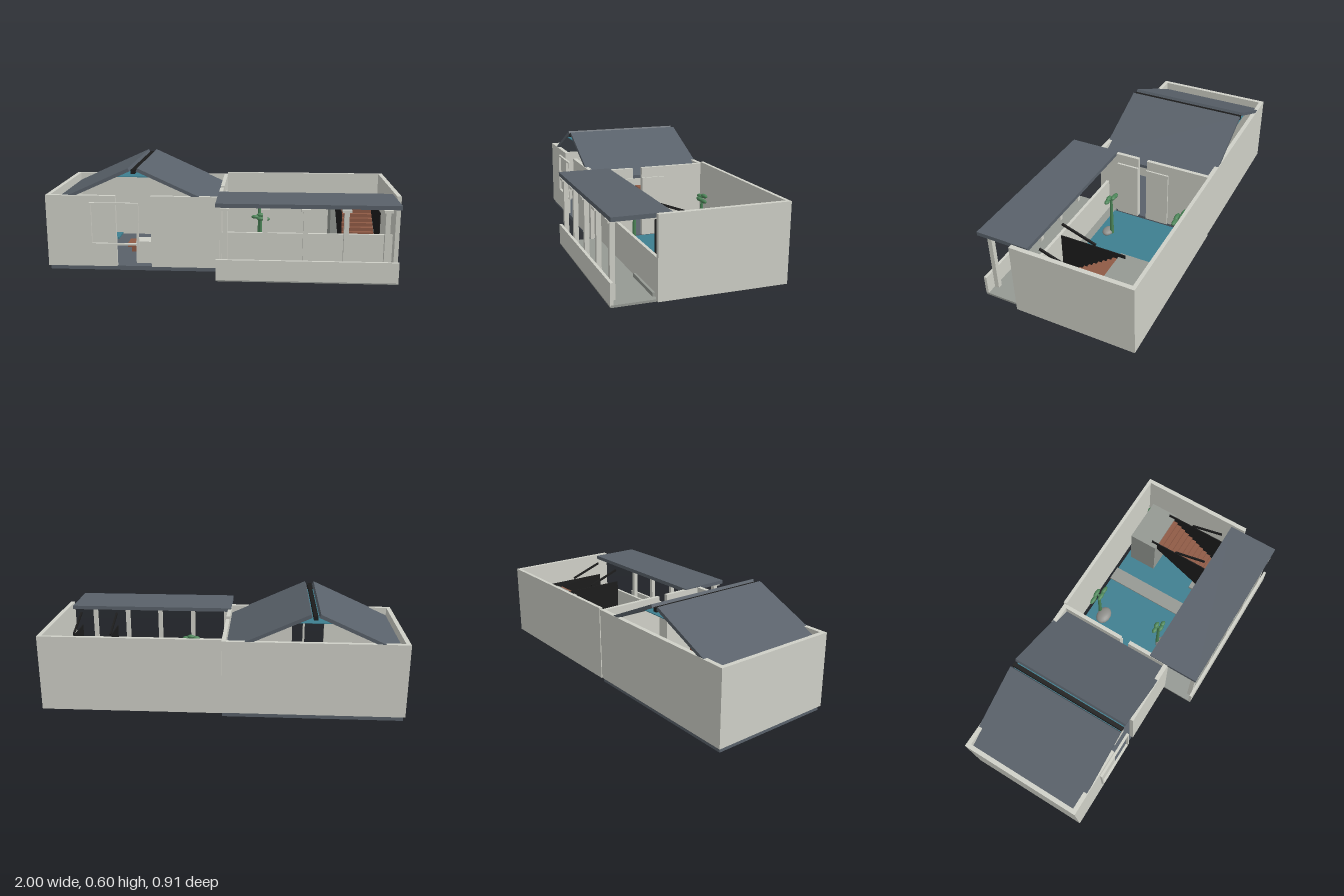
import * as THREE from 'three';

const mat = (name, color, side = THREE.FrontSide) => {
  const m = new THREE.MeshStandardMaterial({ color, side });
  m.name = name;
  return m;
};

export function createModel() {
  const M = {
    wall: mat('plaster', 0xcfd0c7),
    slate: mat('slate', 0x59616a),
    stone: mat('stone', 0x959993),
    water: mat('water', 0x3e7f90, THREE.DoubleSide),
    wood: mat('wood', 0x8f5a45),
    leaf: mat('leaf', 0x4c8558),
    rock: mat('rock', 0x8e8e8a),
    iron: mat('iron', 0x1c1c1c, THREE.DoubleSide),
  };
  const root = new THREE.Group();
  const group = (name) => {
    const g = new THREE.Group();
    g.name = name;
    root.add(g);
    return g;
  };
  // Box given by its minimum and maximum along each axis
  const box = (parent, name, m, x0, x1, y0, y1, z0, z1) => {
    const mesh = new THREE.Mesh(new THREE.BoxGeometry(x1 - x0, y1 - y0, z1 - z0), m);
    mesh.position.set((x0 + x1) / 2, (y0 + y1) / 2, (z0 + z1) / 2);
    mesh.name = name;
    parent.add(mesh);
    return mesh;
  };

  // House shell
  const house = group('house');
  box(house, 'houseFloor', M.slate, -0.99, -0.002, 0, 0.025, -0.44, 0.257);
  box(house, 'backWall', M.wall, -1, 0, 0.025, 0.44, -0.45, -0.425);
  box(house, 'outerWall', M.wall, -1, -0.975, 0.025, 0.44, -0.425, 0.245);
  box(house, 'frontWallRight', M.wall, -1, -0.6, 0.025, 0.44, 0.243, 0.268);
  box(house, 'frontWallLeft', M.wall, -0.4, -0.01, 0.025, 0.44, 0.243, 0.268);
  box(house, 'innerWallBack', M.wall, -0.022, 0, 0.025, 0.44, -0.425, -0.05);
  box(house, 'innerWallFront', M.wall, -0.022, 0, 0.025, 0.44, 0.005, 0.243);
  box(house, 'innerPanelBack', M.wall, -0.02, 0.01, 0.025, 0.38, -0.19, -0.05);
  box(house, 'innerPanelFront', M.wall, -0.02, 0.012, 0.025, 0.38, 0.005, 0.14);

  // Window frame on the front wall
  const frame = group('windowFrame');
  for (const x of [-0.75, -0.48]) box(frame, 'frameSide', M.wall, x, x + 0.012, 0.155, 0.402, 0.268, 0.282);
  for (const y of [0.155, 0.392]) box(frame, 'frameRail', M.wall, -0.738, -0.48, y, y + 0.01, 0.268, 0.282);

  // Pitched roof: two sloping slabs, ridge beam and a thin ceiling sheet
  const roof = group('houseRoof');
  const slab = (name, pts) => {
    const g = new THREE.ExtrudeGeometry(new THREE.Shape(pts.map((p) => new THREE.Vector2(...p))), {
      depth: 0.71, bevelEnabled: false,
    });
    const mesh = new THREE.Mesh(g, M.slate);
    mesh.position.z = -0.447;
    mesh.name = name;
    roof.add(mesh);
  };
  slab('roofSlabRight', [[-0.974, 0.374], [-0.514, 0.58], [-0.522, 0.598], [-0.974, 0.393]]);
  slab('roofSlabLeft', [[-0.022, 0.374], [-0.022, 0.393], [-0.47, 0.598], [-0.478, 0.58]]);
  box(roof, 'ridgeBeam', M.iron, -0.508, -0.485, 0.565, 0.587, -0.445, 0.262);
  box(roof, 'ceilingSheet', M.water, -0.59, -0.40, 0.546, 0.55, -0.44, 0.255);

  // Furniture inside the house
  const furniture = group('furniture');
  box(furniture, 'counter', M.wall, -0.5, -0.4, 0.025, 0.155, 0.1, 0.2);
  box(furniture, 'bench', M.wood, -0.59, -0.51, 0.06, 0.085, -0.1, 0.0);
  box(furniture, 'benchFoot', M.wood, -0.57, -0.53, 0.025, 0.06, -0.08, -0.02);
  box(furniture, 'tableTop', M.water, -0.76, -0.62, 0.14, 0.15, -0.02, 0.1);
  box(furniture, 'tableFoot', M.wall, -0.71, -0.67, 0.025, 0.14, 0.02, 0.06);
  for (const [x, z] of [[-0.73, -0.12], [-0.445, -0.2], [-0.3, 0]]) {
    box(furniture, 'chairSeat', M.wood, x - 0.025, x + 0.025, 0.155, 0.215, z - 0.025, z + 0.025);
    box(furniture, 'chairFoot', M.wall, x - 0.015, x + 0.015, 0.025, 0.155, z - 0.015, z + 0.015);
  }

  // Courtyard
  const yard = group('courtyard');
  box(yard, 'poolFloor', M.water, 0.02, 0.96, 0.016, 0.026, -0.415, 0.16);
  box(yard, 'yardBackWall', M.wall, 0, 1, 0.025, 0.45, -0.455, -0.435);
  box(yard, 'yardSideWall', M.wall, 0.975, 1, 0.025, 0.45, -0.435, 0.235);
  box(yard, 'lowWall', M.wall, 0, 0.965, 0.025, 0.225, 0.205, 0.222);
  box(yard, 'path', M.stone, 0.445, 0.535, 0.02, 0.035, -0.42, 0.2);

  // Porch
  const porch = group('porch');
  box(porch, 'porchFloor', M.stone, -0.02, 0.965, 0.013, 0.025, 0.16, 0.455);
  box(porch, 'parapet', M.wall, -0.02, 0.965, 0.02, 0.135, 0.44, 0.456);
  box(porch, 'porchRoof', M.slate, -0.02, 0.965, 0.425, 0.447, 0.15, 0.452);
  for (let i = 0; i < 5; i++) {
    const x = 0.03 + i * 0.2165;
    box(porch, 'post', M.wall, x - 0.013, x + 0.013, 0.025, 0.41, 0.413, 0.439);
    box(porch, 'postCap', M.wall, x - 0.024, x + 0.024, 0.407, 0.42, 0.4, 0.452);
  }

  // Stairs going down from a raised platform to a low landing
  const stairs = group('stairs');
  box(stairs, 'platform', M.stone, 0.655, 0.93, 0.025, 0.31, -0.385, -0.21);
  box(stairs, 'landing', M.stone, 0.655, 0.93, 0.025, 0.045, 0.06, 0.235);
  const steps = 12;
  for (let i = 0; i < steps; i++) {
    const z = -0.21 + (i * 0.35) / steps;
    const top = 0.3 - (i * 0.25) / steps;
    box(stairs, 'tread', M.wood, 0.692, 0.895, top - 0.028, top, z, z + 0.35 / steps);
  }
  const railShape = new THREE.Shape([
    new THREE.Vector2(0.25, 0.33), new THREE.Vector2(0.25, 0.29),
    new THREE.Vector2(-0.13, 0.05), new THREE.Vector2(-0.13, 0.33),
  ]);
  for (const x of [0.685, 0.905]) {
    const rail = new THREE.Mesh(new THREE.ExtrudeGeometry(railShape, { depth: 0.005, bevelEnabled: false }), M.iron);
    rail.rotation.y = Math.PI / 2;
    rail.position.x = x - 0.0025;
    rail.name = 'railPanel';
    stairs.add(rail);
    const bar = new THREE.Mesh(new THREE.BoxGeometry(0.01, 0.012, 0.21), M.iron);
    bar.position.set(x, 0.375, 0.02);
    bar.rotation.x = -0.35;
    bar.name = 'handrail';
    stairs.add(bar);
  }

  // Small trees, each beside a rock: x, z, rock x, rock z, rock radius
  const garden = group('garden');
  for (const [x, z, rx, rz, r] of [
    [0.21, -0.35, 0.195, -0.315, 0.06],
    [0.22, 0.075, 0.225, 0.1, 0.042],
    [0.89, -0.37, 0.77, -0.37, 0.055],
  ]) {
    const rock = new THREE.Mesh(new THREE.SphereGeometry(r, 14, 10), M.rock);
    rock.scale.set(1, 0.45, 0.75);
    rock.position.set(rx, 0.032, rz);
    rock.name = 'rock';
    garden.add(rock);
    const trunk = new THREE.Mesh(new THREE.CylinderGeometry(0.008, 0.012, 0.25, 8), M.leaf);
    trunk.position.set(x, 0.15, z);
    trunk.name = 'trunk';
    garden.add(trunk);
    const k = x > 0.5 ? 0.6 : z > 0 ? 0.7 : 1;
    for (const [dx, dy, dz] of [[-0.045, 0.28, -0.01], [0.045, 0.272, 0.01], [0, 0.29, -0.015], [0, 0.275, 0.015]]) {
      const leaf = new THREE.Mesh(new THREE.SphereGeometry(0.034, 10, 6), M.leaf);
      leaf.scale.set(k, 0.35, 0.4);
      leaf.position.set(x + dx * k, dy, z + dz);
      leaf.name = 'foliage';
      garden.add(leaf);
    }
  }
  return root;
}
